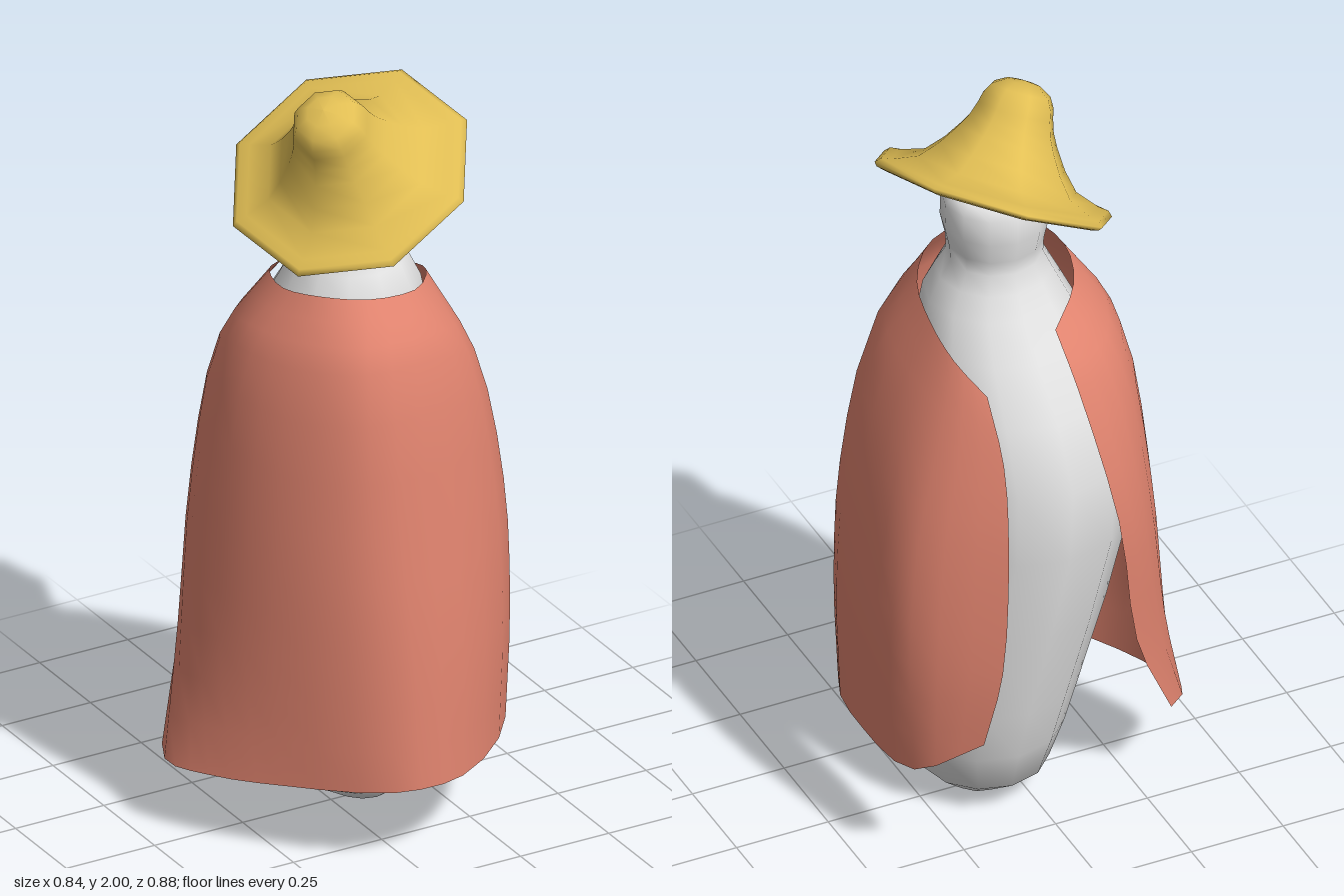
import * as THREE from 'three';
import { mergeVertices } from 'three/addons/utils/BufferGeometryUtils.js';

const V = (x, y, z) => new THREE.Vector3(x, y, z);

// Smooth skin through rows of points; rows run upwards, points run towards +x at the front
function skin(rows) {
  const n = rows[0].length, index = [];
  for (let i = 0; i < rows.length - 1; i++) {
    for (let j = 0; j < n - 1; j++) {
      const a = i * n + j, up = a + n;
      index.push(a, a + 1, up, a + 1, up + 1, up);
    }
  }
  let geo = new THREE.BufferGeometry().setFromPoints(rows.flat());
  geo.setIndex(index);
  geo = mergeVertices(geo, 1e-4);
  geo.computeVertexNormals();
  return geo;
}

// Body and head: rings of height, centre x, centre z, radius
function bodyGeometry() {
  const rings = [
    [0, 0.09, 0, 0], [0.015, 0.09, 0, 0.07], [0.08, 0.075, 0.003, 0.162], [0.2, 0.08, -0.005, 0.202],
    [0.35, 0.07, -0.025, 0.222], [0.6, 0.035, -0.05, 0.245], [0.85, 0, -0.075, 0.258],
    [1.05, -0.008, -0.068, 0.265], [1.22, 0.003, -0.022, 0.25], [1.36, 0.02, 0.02, 0.212],
    [1.46, 0.03, 0.04, 0.175], [1.52, 0.03, 0.04, 0.145], [1.57, 0.03, 0.035, 0.12],
    [1.61, 0.03, 0.035, 0.122], [1.67, 0.03, 0.035, 0.135], [1.74, 0.03, 0.035, 0.133],
    [1.77, 0.03, 0.035, 0.11], [1.785, 0.03, 0.035, 0],
  ];
  const sides = 12;
  return skin(rings.map(([y, cx, cz, r]) =>
    Array.from({ length: sides + 1 }, (_, j) => {
      const a = ((j % sides) / sides) * Math.PI * 2;
      return V(cx + r * Math.sin(a), y, cz + r * Math.cos(a));
    })));
}

// Cape: folds running from neck to hem, from the right back edge round the front to the left back edge
function capeGeometry() {
  const folds = [
    [[-0.04, 1.43, -0.165], [-0.055, 1.31, -0.26], [-0.12, 0.95, -0.36], [-0.185, 0.55, -0.325], [-0.325, 0.24, -0.23]],
    [[-0.14, 1.47, -0.06], [-0.22, 1.27, -0.165], [-0.275, 0.9, -0.21], [-0.33, 0.5, -0.18], [-0.42, 0.18, -0.09]],
    [[-0.18, 1.49, 0.08], [-0.28, 1.33, 0.02], [-0.335, 0.95, -0.03], [-0.36, 0.55, -0.02], [-0.375, 0.185, 0.05]],
    [[-0.14, 1.505, 0.19], [-0.225, 1.33, 0.2], [-0.27, 0.9, 0.21], [-0.28, 0.55, 0.2], [-0.26, 0.2, 0.22]],
    [[-0.04, 1.5, 0.255], [-0.09, 1.34, 0.34], [-0.1, 0.9, 0.385], [-0.08, 0.55, 0.41], [-0.06, 0.22, 0.425]],
    [[0.1, 1.485, 0.24], [0.11, 1.33, 0.33], [0.13, 0.9, 0.385], [0.14, 0.55, 0.412], [0.13, 0.22, 0.425]],
    [[0.2, 1.465, 0.12], [0.28, 1.27, 0.22], [0.355, 0.9, 0.235], [0.37, 0.55, 0.24], [0.36, 0.24, 0.235]],
    [[0.22, 1.425, 0], [0.3, 1.22, 0.02], [0.375, 0.9, 0], [0.41, 0.6, 0], [0.415, 0.27, -0.02]],
    [[0.205, 1.37, -0.1], [0.262, 1.18, -0.14], [0.345, 0.9, -0.185], [0.392, 0.6, -0.24], [0.4, 0.31, -0.28]],
    [[0.155, 1.3, -0.185], [0.155, 1.15, -0.28], [0.185, 0.95, -0.37], [0.235, 0.65, -0.44], [0.285, 0.45, -0.437]],
  ].map((fold) => new THREE.CatmullRomCurve3(fold.map((p) => V(...p))));
  const rows = [];
  for (let i = 0; i <= 12; i++) {
    const around = new THREE.CatmullRomCurve3(folds.map((f) => f.getPoint(1 - i / 12)));
    rows.push(around.getPoints(27));
  }
  return skin(rows);
}

// Hat: eight-sided flared crown and brim, spun about its own axis
function hatGeometry() {
  const profile = [
    [0, -0.014], [0.15, -0.014], [0.285, -0.01], [0.308, -0.004], [0.316, 0.006], [0.303, 0.018], [0.275, 0.022],
    [0.21, 0.045], [0.167, 0.09], [0.132, 0.14], [0.112, 0.175], [0.1, 0.21], [0.094, 0.235],
    [0.078, 0.262], [0.045, 0.281], [0, 0.287],
  ].map(([r, h]) => new THREE.Vector2(r, h));
  return new THREE.LatheGeometry(profile, 8, 0.56);
}

export function createModel() {
  const model = new THREE.Group();
  const material = (name, color, side = THREE.FrontSide) => {
    const m = new THREE.MeshStandardMaterial({ color, side });
    m.name = name;
    return m;
  };
  const add = (name, geometry, mat) => {
    const mesh = new THREE.Mesh(geometry, mat);
    mesh.name = name;
    model.add(mesh);
    return mesh;
  };

  add('body', bodyGeometry(), material('pale grey', 0xe4e4e4));
  add('cape', capeGeometry(), material('coral', 0xe38570, THREE.DoubleSide));

  // Hat tilts towards the front right
  const hat = add('hat', hatGeometry(), material('straw yellow', 0xe2bf54));
  hat.position.set(0.03, 1.735, 0.045);
  hat.quaternion.setFromUnitVectors(V(0, 1, 0), V(-0.51, 1, 0.336).normalize());

  return model;
}
